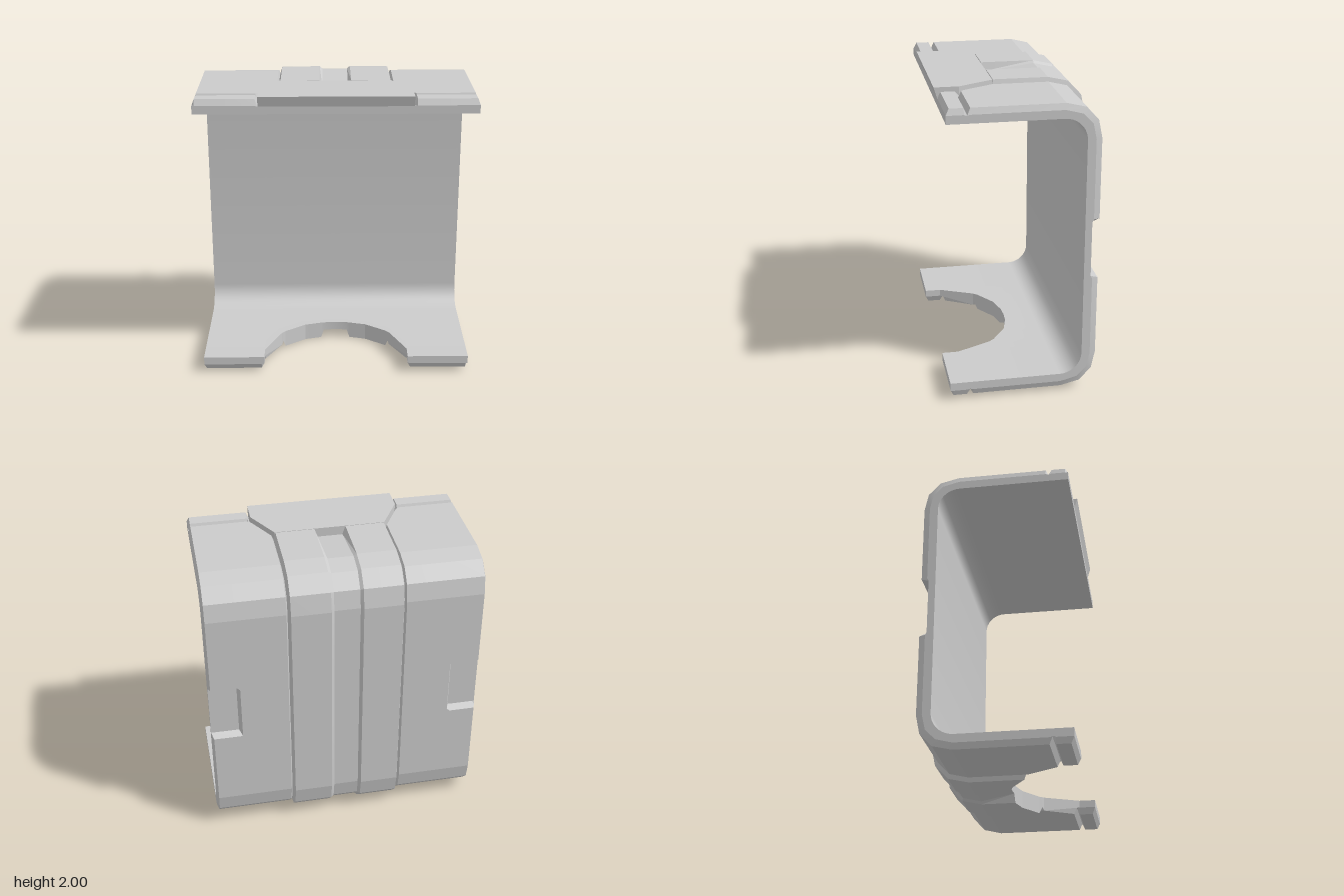
import * as THREE from 'three';
import { toCreasedNormals } from 'three/addons/utils/BufferGeometryUtils.js';

const material = new THREE.MeshStandardMaterial({ color: 0xcccccc });

// Rounded bend of the outer skin as [z, y above mid height]: panel level and raised level
const PANEL = 0.095, RAISED = 0.12;
const bendPanel = [[-0.25, 0.975], [-0.375, 0.945], [-0.455, 0.86], [-0.48, 0.74]];
const bendRaised = [[-0.253, 1.0], [-0.388, 0.969], [-0.478, 0.873], [-0.505, 0.74]];

// A bend point at height h above the inner skin
function bendPoint(i, h) {
  const t = (h - PANEL) / (RAISED - PANEL);
  return bendPanel[i].map((v, k) => v + (bendRaised[i][k] - v) * t);
}

// Closed C-shaped profile (z, y) of the shell at one section
function profile({ h, lip, zTop, zEnd, notch, channel }) {
  const points = [];
  const bottom = (z, hh) => points.push([z, 0.12 - hh]);
  const top = (z, hh) => points.push([z, 1.88 + hh]);
  const tipH = channel ? 0.06 : h;

  // lower arm, from its tip backwards, with a V groove behind the lip
  const cut = zEnd < 0.36;
  const lipH = cut ? tipH : lip;
  bottom(zEnd, Math.min(lipH, 0.055));
  bottom(Math.min(zEnd, 0.47), lipH);
  bottom(Math.min(zEnd, 0.38), lipH);
  bottom(Math.min(zEnd, 0.36), cut ? tipH : 0.05);
  bottom(Math.min(zEnd, 0.34), tipH);

  // back wall with the side notch
  for (let i = 0; i < 4; i++) {
    const [z, y] = bendPoint(i, h);
    points.push([z, 1 - y]);
  }
  const back = bendPoint(3, h)[0];
  const floor = notch ? -0.43 : back;
  points.push([back, 0.8], [floor, 0.82], [floor, 1.19], [back, 1.21]);
  for (let i = 3; i >= 0; i--) {
    const [z, y] = bendPoint(i, h);
    points.push([z, 1 + y]);
  }

  // upper arm, out to its tip
  top(zTop, tipH);
  top(zTop + 0.02, 0.05);
  top(0.38, lip);
  top(0.47, lip);
  top(0.49, Math.min(lip, 0.055));

  // smooth inner skin
  top(0.49, 0);
  const steps = 9, r = 0.145;
  for (const s of [1, -1]) {
    for (let i = 0; i <= steps; i++) {
      const a = ((s > 0 ? i : steps - i) / steps) * Math.PI / 2;
      points.push([-0.24 - r * Math.sin(a), 1 + s * (0.735 + r * Math.cos(a))]);
    }
  }
  bottom(zEnd, 0);
  return points;
}

// Sections from the outer edge to the middle:
// x, skin height, lip height, end of upper skin, end of lower arm, notch, channel
const half = [
  [0.92, 0.055, 0.055, 0.34, 0.49, 1, 0],
  [0.905, PANEL, PANEL, 0.34, 0.49, 1, 0],
  [0.73, PANEL, PANEL, 0.34, 0.49, 1, 0],
  [0.71, PANEL, PANEL, 0.34, 0.49, 0, 0],
  [0.52, PANEL, PANEL, 0.34, 0.49, 0, 0],
  [0.5, PANEL, 0.05, 0.32, 0.49, 0, 0],
  [0.5, PANEL, 0.05, 0.32, 0.38, 0, 0],
  [0.39, PANEL, 0.05, 0.12, 0.14, 0, 0],
  [0.38, 0.07, 0.05, 0.11, 0.13, 0, 0],
  [0.365, RAISED, 0.05, 0.11, 0.11, 0, 0],
  [0.22, RAISED, 0.05, 0.11, 0.01, 0, 0],
  [0.105, RAISED, 0.05, 0.11, -0.02, 0, 0],
  [0.085, 0.105, 0.05, 0.11, -0.025, 0, 1],
  [0, 0.105, 0.05, 0.11, -0.03, 0, 1],
].map(([x, h, lip, zTop, zEnd, notch, channel]) => ({ x, h, lip, zTop, zEnd, notch, channel }));

// Loft the profiles from side to side and close both ends
function shellGeometry() {
  const left = half.slice(0, -1).map((s) => ({ ...s, x: -s.x }));
  const rings = [...left, ...half.slice().reverse()].map((s) =>
    profile(s).map(([z, y]) => new THREE.Vector3(s.x, y, z)));
  const positions = [];
  const area = new THREE.Triangle();
  const face = (a, b, c) => {
    if (area.set(a, b, c).getArea() < 1e-8) return;
    for (const p of [a, b, c]) positions.push(p.x, p.y, p.z);
  };
  for (let k = 0; k < rings.length - 1; k++) {
    const a = rings[k], b = rings[k + 1];
    for (let i = 0; i < a.length; i++) {
      const j = (i + 1) % a.length;
      face(a[i], a[j], b[j]);
      face(a[i], b[j], b[i]);
    }
  }
  const first = rings[0], last = rings[rings.length - 1];
  const outline = last.map((p) => new THREE.Vector2(-p.z, p.y));
  for (const [i, j, k] of THREE.ShapeUtils.triangulateShape(outline, [])) {
    face(last[i], last[j], last[k]);
    face(first[k], first[j], first[i]);
  }
  const geometry = new THREE.BufferGeometry();
  geometry.setAttribute('position', new THREE.Float32BufferAttribute(positions, 3));
  return toCreasedNormals(geometry, 0.2);
}

// Flat plate on the upper arm, its front edge leaning outwards
function plateGeometry() {
  const corners = [[-0.5, 0.51], [0.5, 0.51], [0.5, 0.35], [0.37, 0.115], [-0.37, 0.115], [-0.5, 0.35]];
  const shape = new THREE.Shape(corners.map(([x, z]) => new THREE.Vector2(x, -z)));
  const geometry = new THREE.ExtrudeGeometry(shape, { depth: 0.07, bevelEnabled: false });
  geometry.rotateX(-Math.PI / 2).translate(0, 1.93, 0);
  const p = geometry.attributes.position;
  for (let i = 0; i < p.count; i++) {
    if (p.getZ(i) > 0.5 && p.getY(i) < 1.95) p.setZ(i, 0.49);
  }
  geometry.computeVertexNormals();
  return geometry;
}

export function createModel() {
  const model = new THREE.Group();
  model.name = 'bracketCover';
  const add = (name, geometry) => {
    const mesh = new THREE.Mesh(geometry, material);
    mesh.name = name;
    model.add(mesh);
  };
  add('shell', shellGeometry());
  add('topPlate', plateGeometry());
  return model;
}
